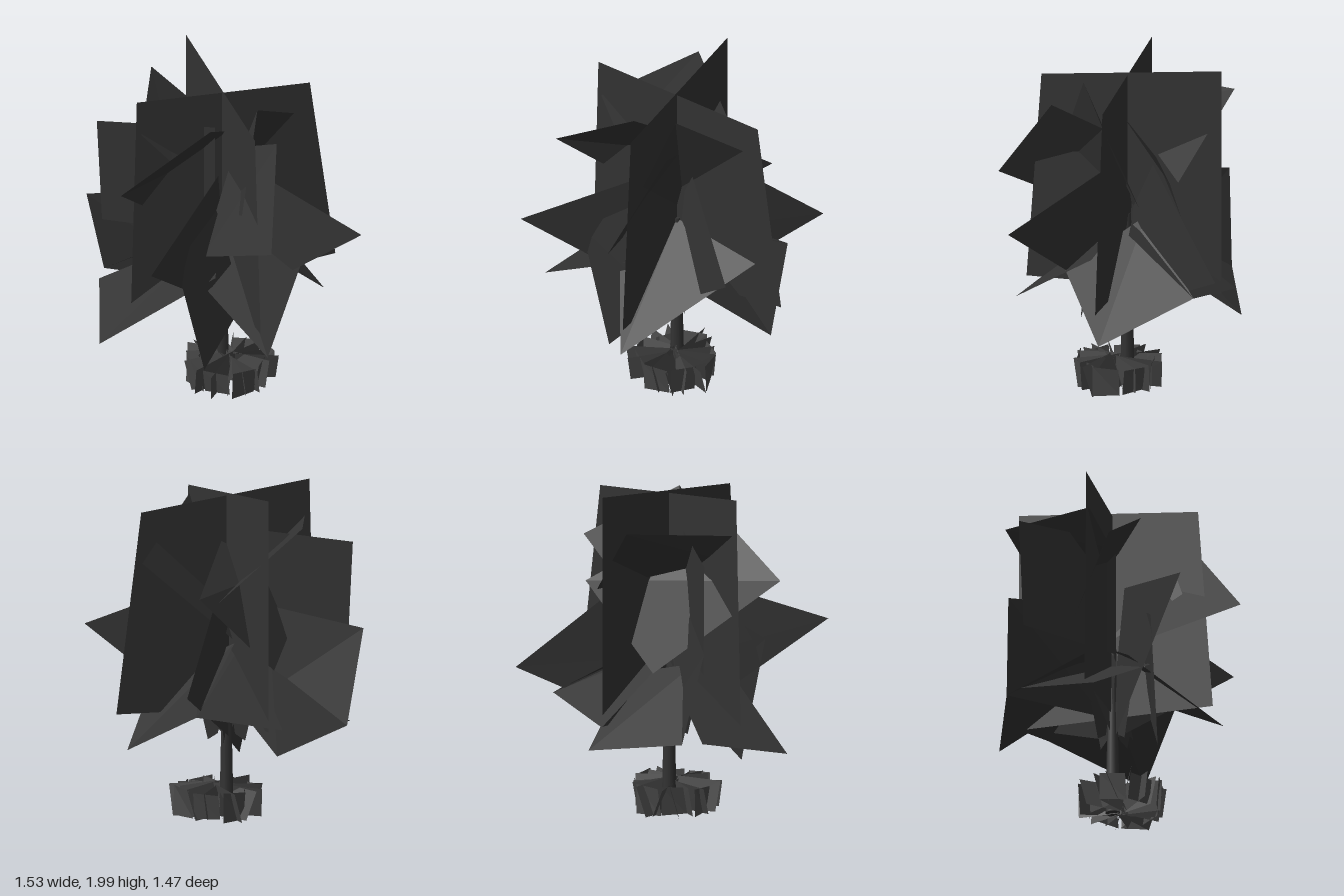
import * as THREE from 'three';

const foliageMat = new THREE.MeshStandardMaterial({ color: 0x333333, side: THREE.DoubleSide, flatShading: true });
const baseMat = new THREE.MeshStandardMaterial({ color: 0x484848, side: THREE.DoubleSide, flatShading: true });
const trunkMat = new THREE.MeshStandardMaterial({ color: 0x333333 });

// A flat four-cornered leaf card; corners run around its outline.
function card(name, corners, material = foliageMat) {
  const geometry = new THREE.BufferGeometry();
  geometry.setAttribute('position', new THREE.Float32BufferAttribute(corners.flat(), 3));
  geometry.setIndex([0, 1, 2, 0, 2, 3]);
  geometry.computeVertexNormals();
  const mesh = new THREE.Mesh(geometry, material);
  mesh.name = name;
  return mesh;
}

function seeded(seed) {
  return () => (seed = (seed * 16807) % 2147483647) / 2147483647;
}

export function createModel() {
  const model = new THREE.Group();
  model.name = 'tree';
  const tx = 0.06, tz = -0.04;

  // Trunk
  const trunk = new THREE.Mesh(new THREE.CylinderGeometry(0.022, 0.044, 1.06, 8), trunkMat);
  trunk.name = 'trunk';
  trunk.position.set(tx, 0.54, tz);
  model.add(trunk);

  const canopy = new THREE.Group();
  canopy.name = 'canopy';
  model.add(canopy);

  // Two large upright cards crossing at the trunk
  const crossed = [
    [[-0.475, 1.97, tz], [-0.51, 0.62, tz], [0.77, 0.68, tz], [0.61, 1.87, tz]],
    [[tx, 1.88, 0.48], [tx, 0.62, 0.57], [tx, 0.62, -0.61], [tx, 2.0, -0.61]],
  ];
  // Upright cards reaching out along the diagonals
  const diagonal = [
    [[-0.63, 1.17, 0.58], [0.05, 0.5, -0.02], [0.06, 0.9, -0.02], [0.0, 1.42, 0.05]],
    [[-0.37, 1.05, 0.32], [-0.19, 0.29, 0.31], [0.1, 0.6, 0.18], [-0.05, 1.25, 0.15]],
    [[0.19, 1.42, 0.0], [0.72, 1.11, 0.5], [0.05, 0.48, -0.03], [-0.1, 0.85, -0.15]],
    [[0.64, 0.9, -0.73], [0.19, 1.43, -0.23], [0.0, 0.95, 0.0], [0.05, 0.48, -0.06]],
    [[-0.575, 1.66, -0.42], [-0.55, 1.0, -0.4], [0.0, 1.0, 0.0], [0.0, 1.72, 0.0]],
    [[-0.62, 1.15, -0.47], [-0.49, 0.59, -0.52], [0.03, 0.62, -0.08], [0.0, 1.3, 0.0]],
  ];
  // Slanted cards in the crown
  const slanted = [
    [[0.19, 1.9, 0.19], [0.65, 1.59, -0.14], [0.06, 1.08, -0.12], [0.01, 1.34, 0.4]],
    [[0.24, 1.76, 0.37], [0.06, 1.25, 0.74], [-0.16, 0.99, 0.2], [0.12, 1.57, 0.02]],
    [[-0.65, 1.48, 0.15], [-0.1, 1.81, 0.18], [0.4, 1.4, -0.39], [-0.1, 0.92, -0.35]],
    [[-0.15, 1.82, -0.63], [0.29, 1.37, -0.41], [-0.28, 1.56, 0.05], [-0.45, 1.75, -0.03]],
  ];
  // Drooping cards that slope outward from the trunk
  const drooping = [
    [[0.7, 0.46, -0.04], [0.5, 0.74, -0.56], [0.06, 1.06, -0.15], [0.4, 0.8, 0.24]],
    [[0.06, 0.5, -0.73], [-0.49, 0.59, -0.52], [-0.2, 0.95, -0.1], [0.2, 0.85, -0.25]],
    [[0.5, 0.74, -0.56], [0.0, 0.64, -0.68], [-0.05, 1.05, -0.05], [0.25, 1.0, -0.1]],
    [[-0.76, 0.47, 0.09], [-0.56, 0.59, -0.42], [0.06, 0.96, -0.1], [-0.1, 0.865, 0.26]],
    [[0.08, 0.49, 0.63], [0.63, 0.97, 0.02], [tx, 1.06, tz], [-0.22, 0.88, 0.14]],
  ];
  const sets = { crossedLeaf: crossed, diagonalLeaf: diagonal, slantedLeaf: slanted, droopingLeaf: drooping };
  for (const [name, list] of Object.entries(sets)) {
    list.forEach((corners, i) => canopy.add(card(`${name}${i + 1}`, corners)));
  }

  // Small shoots around the trunk below the crown
  for (let i = 0; i < 4; i++) {
    const a = i * 1.57 + 0.6, c = Math.cos(a), s = Math.sin(a);
    canopy.add(card(`shoot${i + 1}`, [
      [tx + 0.02 * c, 0.72, tz + 0.02 * s], [tx + 0.05 * c, 0.5, tz + 0.05 * s],
      [tx + 0.11 * c, 0.46, tz + 0.11 * s], [tx + 0.16 * c, 0.68, tz + 0.16 * s],
    ]));
  }

  // Star of upright cards around the foot
  const foot = new THREE.Group();
  foot.name = 'footLeaves';
  foot.position.set(0.085, 0, 0.02);
  model.add(foot);
  const rnd = seeded(41);
  const count = 16;
  for (let i = 0; i < count; i++) {
    const a = (i / count) * Math.PI * 2, c = Math.cos(a), s = Math.sin(a);
    const outer = 0.23 + 0.06 * rnd(), inner = -0.02 + 0.06 * rnd();
    const lean = (rnd() - 0.5) * 0.08, low = 0.005 + 0.012 * rnd(), high = 0.18 + 0.025 * rnd();
    const at = (r, side, y) => [r * c - side * s, y, r * s + side * c];
    foot.add(card(`footLeaf${i + 1}`, [
      at(inner, -lean, low), at(outer - 0.02, -lean, low),
      at(outer, lean, high - 0.01), at(inner, lean, high),
    ], baseMat));
    // Short cross card on every other spoke
    if (i % 2 === 0) {
      const r = 0.15 + 0.07 * rnd(), w = 0.075;
      foot.add(card(`footCrossLeaf${i / 2 + 1}`, [
        at(r - 0.02, -w, low), at(r + lean, w, low), at(r + 0.03, w, high - 0.01), at(r + 0.01, -w, high - 0.02),
      ], baseMat));
    }
  }
  return model;
}
